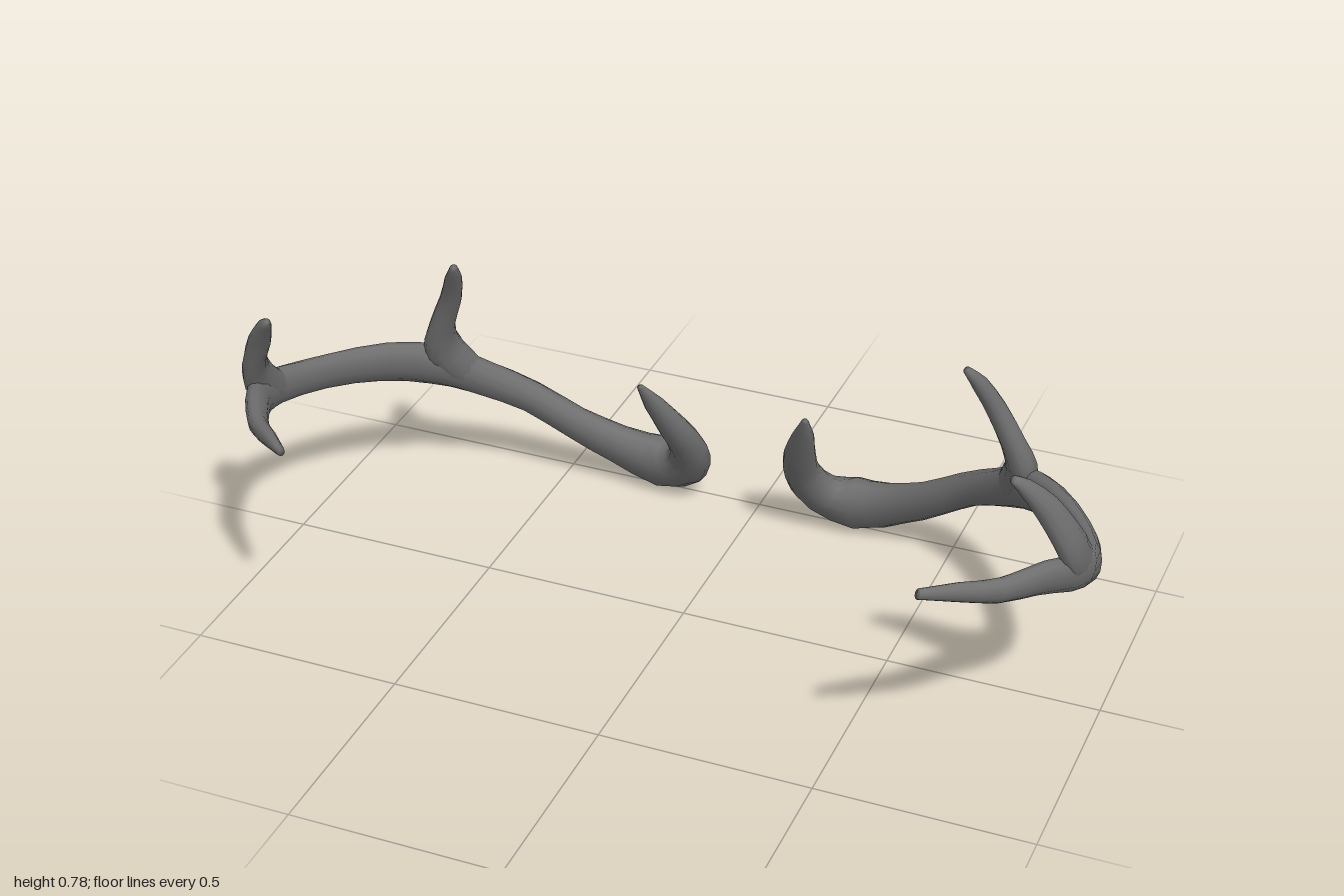
import * as THREE from 'three';

const SIDES = 12;
const STEPS = 2; // rings per control point

// Sweeps an elliptical section along points [x, y, z, halfWidthAlongUp, halfWidthAcross].
// The section's up axis turns from upA to upB between points turnFrom and turnTo.
function limb(points, side, upA, upB = upA, turnFrom = 0, turnTo = 1) {
  const curve = new THREE.CatmullRomCurve3(points.map(p => new THREE.Vector3(p[0], p[1], p[2])));
  const last = points.length - 1;
  const rings = last * STEPS;
  const pos = [];
  const index = [];
  const tri = (a, b, c) => (side > 0 ? index.push(a, b, c) : index.push(a, c, b));

  for (let i = 0; i <= rings; i++) {
    const f = i / STEPS;
    const k = Math.min(Math.floor(f), last - 1);
    const mix = n => THREE.MathUtils.lerp(points[k][n], points[k + 1][n], f - k);
    const centre = curve.getPoint(i / rings);
    const tangent = curve.getTangent(i / rings);
    const up = upA.clone().lerp(upB, THREE.MathUtils.smoothstep(f, turnFrom, turnTo));
    up.addScaledVector(tangent, -up.dot(tangent)).normalize();
    const across = tangent.clone().cross(up);
    for (let j = 0; j < SIDES; j++) {
      const a = (j / SIDES) * Math.PI * 2;
      const v = centre.clone()
        .addScaledVector(up, Math.cos(a) * mix(3))
        .addScaledVector(across, Math.sin(a) * mix(4));
      pos.push(v.x * side, v.y, v.z);
      if (i < rings) {
        const p = i * SIDES + j;
        const q = i * SIDES + (j + 1) % SIDES;
        tri(p, q, p + SIDES);
        tri(q, q + SIDES, p + SIDES);
      }
    }
  }
  // end caps
  const start = pos.length / 3;
  const end = start + 1;
  for (const p of [points[0], points[last]]) pos.push(p[0] * side, p[1], p[2]);
  for (let j = 0; j < SIDES; j++) {
    const n = (j + 1) % SIDES;
    tri(n, j, start);
    tri(rings * SIDES + j, rings * SIDES + n, end);
  }
  const geo = new THREE.BufferGeometry();
  geo.setAttribute('position', new THREE.Float32BufferAttribute(pos, 3));
  geo.setIndex(index);
  geo.computeVertexNormals();
  return geo;
}

// Brow tine, bulbous base and main beam as one continuous sweep
const BEAM = [
  [0.205, 0.438, -0.237, 0.008, 0.007],
  [0.187, 0.37, -0.28, 0.026, 0.022],
  [0.16, 0.28, -0.335, 0.039, 0.033],
  [0.147, 0.19, -0.397, 0.046, 0.04],
  [0.178, 0.107, -0.453, 0.062, 0.046],
  [0.255, 0.079, -0.482, 0.085, 0.056],
  [0.36, 0.113, -0.465, 0.062, 0.043],
  [0.46, 0.172, -0.43, 0.05, 0.037],
  [0.56, 0.247, -0.39, 0.045, 0.037],
  [0.66, 0.315, -0.325, 0.05, 0.04],
  [0.74, 0.375, -0.25, 0.06, 0.039],
  [0.83, 0.416, -0.15, 0.057, 0.032],
  [0.917, 0.437, -0.03, 0.049, 0.026],
  [0.97, 0.46, 0.1, 0.048, 0.025],
  [0.96, 0.492, 0.2, 0.048, 0.025],
  [0.915, 0.528, 0.3, 0.043, 0.025],
  [0.855, 0.546, 0.4, 0.033, 0.022],
  [0.79, 0.57, 0.47, 0.025, 0.018],
  [0.724, 0.591, 0.537, 0.014, 0.01],
];
// Both upper tines start inside the beam and peel away from it
const MID_TINE = [
  [0.665, 0.32, -0.32, 0.035, 0.03],
  [0.7, 0.375, -0.275, 0.048, 0.036],
  [0.72, 0.435, -0.24, 0.05, 0.036],
  [0.704, 0.51, -0.213, 0.034, 0.028],
  [0.667, 0.6, -0.192, 0.029, 0.024],
  [0.637, 0.68, -0.152, 0.022, 0.019],
  [0.616, 0.731, -0.115, 0.01, 0.009],
];
const UPPER_TINE = [
  [0.968, 0.452, 0.08, 0.03, 0.018],
  [0.966, 0.485, 0.15, 0.045, 0.023],
  [0.962, 0.55, 0.212, 0.049, 0.025],
  [0.947, 0.607, 0.243, 0.041, 0.026],
  [0.91, 0.685, 0.275, 0.031, 0.026],
  [0.872, 0.748, 0.313, 0.019, 0.017],
  [0.851, 0.775, 0.335, 0.009, 0.008],
];

export function createModel() {
  const model = new THREE.Group();
  model.name = 'antlers';
  const material = new THREE.MeshStandardMaterial({ color: 0x707070 });
  const V = (x, y, z) => new THREE.Vector3(x, y, z);

  for (const side of [1, -1]) {
    const antler = new THREE.Group();
    antler.name = side > 0 ? 'leftAntler' : 'rightAntler';
    const add = (name, geo) => {
      const mesh = new THREE.Mesh(geo, material);
      mesh.name = name;
      antler.add(mesh);
    };
    add('mainBeam', limb(BEAM, side, V(1, 0, 0), V(0, 0.9, 0.45), 3, 5.5));
    add('middleTine', limb(MID_TINE, side, V(0.5, -0.6, 0.6)));
    add('upperTine', limb(UPPER_TINE, side, V(0, -0.6, 0.8)));
    model.add(antler);
  }
  return model;
}
